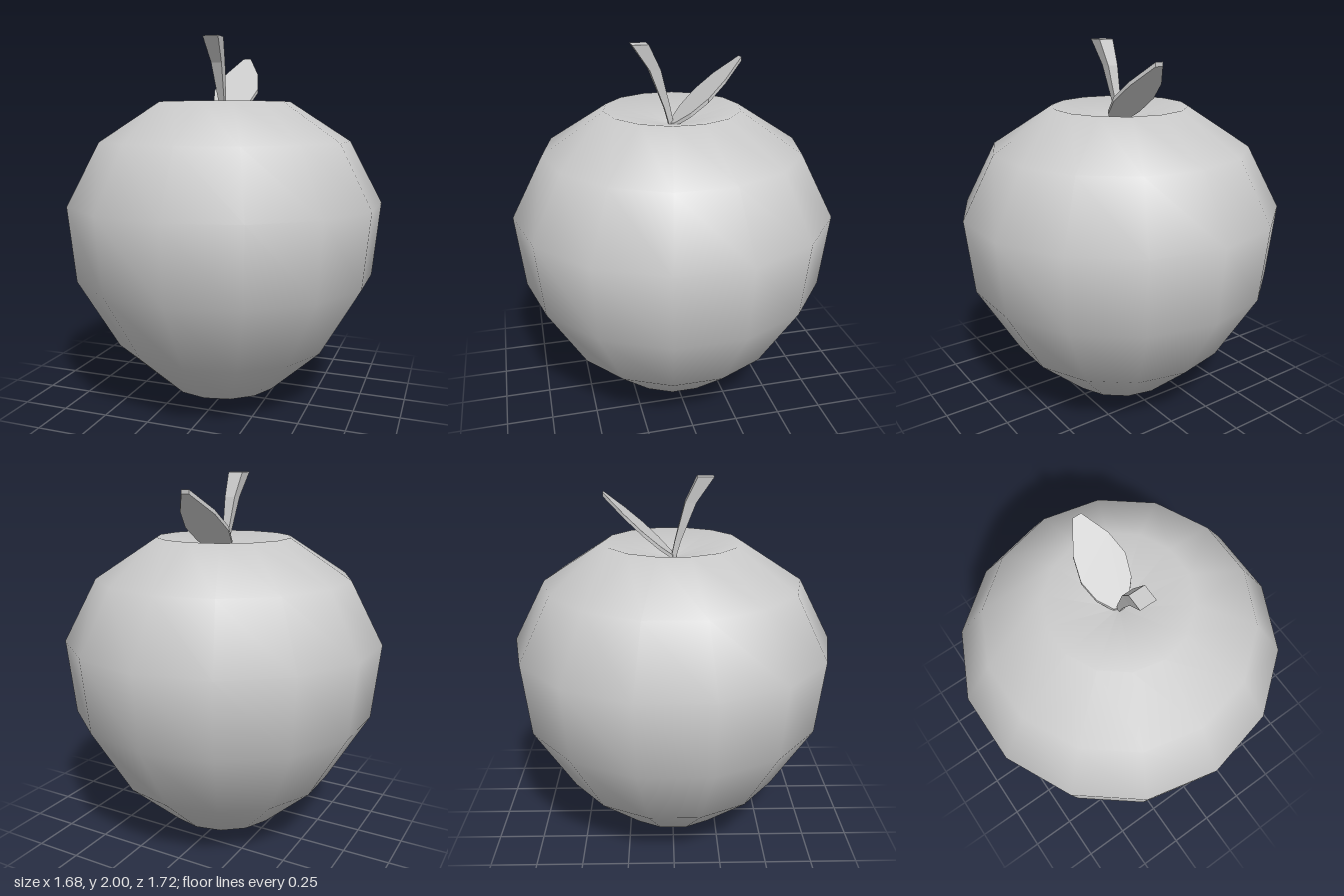
import * as THREE from 'three';

const grey = (options = {}) => new THREE.MeshStandardMaterial({ color: 0xcccccc, ...options });

// Moves every vertex of a geometry by a rule
function reshape(geometry, rule) {
  const pos = geometry.attributes.position;
  const v = new THREE.Vector3();
  for (let i = 0; i < pos.count; i++) {
    rule(v.fromBufferAttribute(pos, i));
    pos.setXYZ(i, v.x, v.y, v.z);
  }
  geometry.computeVertexNormals();
  return geometry;
}

function addPart(group, name, geometry, material) {
  const mesh = new THREE.Mesh(geometry, material);
  mesh.name = name;
  group.add(mesh);
}

export function createModel() {
  const model = new THREE.Group();
  model.name = 'apple';

  // Fruit: smooth 14-sided body with a shallow dip on top
  const profile = [
    [0, 0], [0.315, 0.095], [0.6, 0.355], [0.82, 0.73],
    [0.86, 1.13], [0.685, 1.46], [0.36, 1.67], [0, 1.58],
  ].map(([r, y]) => new THREE.Vector2(r, y));
  addPart(model, 'fruit', new THREE.LatheGeometry(profile, 14), grey());

  // Stem: square bar that widens and bends forward; rings are [y, z, half width]
  const rings = [[1.56, 0, 0.012], [1.67, 0.027, 0.016], [1.87, 0.092, 0.029], [2, 0.168, 0.042]];
  const bar = new THREE.CylinderGeometry(Math.SQRT2, Math.SQRT2, 3, 4, 3);
  bar.rotateY(Math.PI / 4);
  reshape(bar, (v) => {
    const [y, z, half] = rings[Math.round(v.y + 1.5)];
    v.set(v.x * half, y, z + v.z * half);
  });
  addPart(model, 'stem', bar, grey({ flatShading: true }));

  // Leaf: thin outlined slab rising towards the back
  const outline = [
    [0.02, -0.01], [0.055, 0], [0.12, 0.07], [0.145, 0.155], [0.115, 0.25], [0.04, 0.355],
    [-0.005, 0.355], [-0.085, 0.245], [-0.11, 0.15], [-0.085, 0.065], [-0.03, 0],
  ].map(([x, s]) => new THREE.Vector2(x, s));
  const slab = new THREE.ExtrudeGeometry(new THREE.Shape(outline), { depth: 0.022, bevelEnabled: false });
  reshape(slab, (v) => v.set(v.x, 1.58 + 0.9 * v.y + v.z, -v.y));
  addPart(model, 'leaf', slab, grey({ flatShading: true }));

  return model;
}
